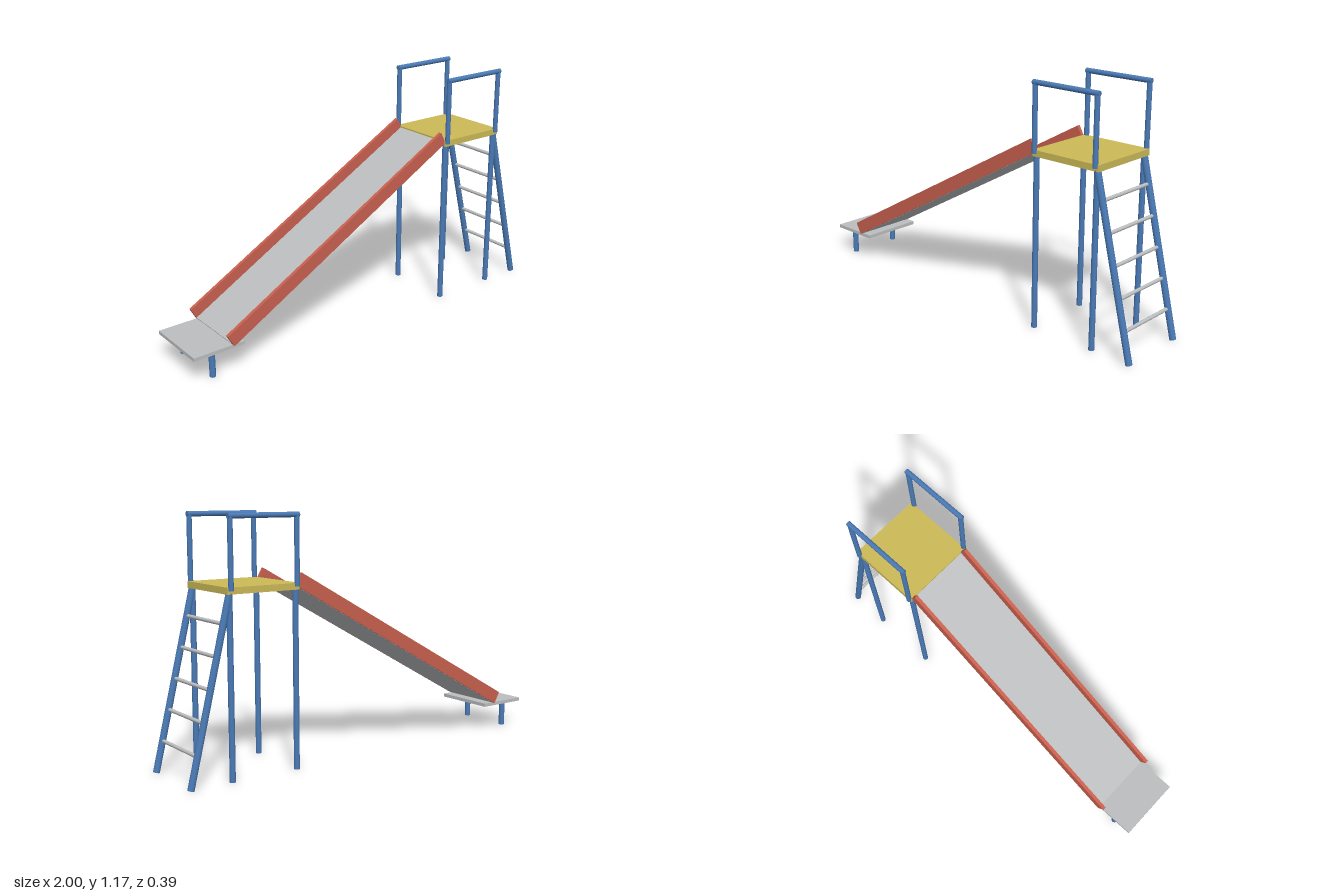
import * as THREE from 'three';

const mat = (name, color) => {
  const m = new THREE.MeshStandardMaterial({ color });
  m.name = name;
  return m;
};

export function createModel() {
  const group = new THREE.Group();
  const blue = mat('blue tube', 0x4a7ab5);
  const red = mat('red side', 0xc8604f);
  const yellow = mat('yellow deck', 0xcbb957);
  const grey = mat('grey metal', 0xbcbec0);

  const add = (name, geometry, material, x, y, z) => {
    const mesh = new THREE.Mesh(geometry, material);
    mesh.name = name;
    mesh.position.set(x, y, z);
    group.add(mesh);
    return mesh;
  };

  const box = (name, material, w, h, d, x, y, z) =>
    add(name, new THREE.BoxGeometry(w, h, d), material, x, y, z);

  // Round bar between two points
  const bar = (name, material, r, a, b) => {
    const from = new THREE.Vector3(...a), to = new THREE.Vector3(...b);
    const dir = to.clone().sub(from);
    const mid = from.clone().add(to).multiplyScalar(0.5);
    const mesh = add(name, new THREE.CylinderGeometry(r, r, dir.length(), 16), material, mid.x, mid.y, mid.z);
    mesh.quaternion.setFromUnitVectors(new THREE.Vector3(0, 1, 0), dir.normalize());
    return mesh;
  };

  // Deck
  box('platform', yellow, 0.362, 0.03, 0.364, 0.616, 0.84, 0);

  const postX = [0.447, 0.78];
  const ladderTop = [0.78, 0.83], ladderFoot = [0.982, 0.004];

  for (const s of [-1, 1]) {
    // Posts below the deck and handrail uprights above it
    for (const x of postX) {
      bar('post', blue, 0.0135, [x, 0.005, s * 0.167], [x, 0.83, s * 0.167]);
      bar('handrailUpright', blue, 0.012, [x, 0.84, s * 0.183], [x, 1.155, s * 0.183]);
    }
    bar('handrail', blue, 0.012, [0.436, 1.155, s * 0.183], [0.791, 1.155, s * 0.183]);
    // Ladder rail
    bar('ladderRail', blue, 0.0155, [...ladderTop, s * 0.167], [...ladderFoot, s * 0.167]);
    // Legs of the landing board
    bar('landingLeg', blue, 0.0145, [-0.897, 0.007, s * 0.132], [-0.897, 0.135, s * 0.132]);
  }

  // Ladder rungs
  for (let i = 0; i < 5; i++) {
    const y = 0.146 + i * 0.1388;
    const t = (ladderTop[1] - y) / (ladderTop[1] - ladderFoot[1]);
    const x = ladderTop[0] + t * (ladderFoot[0] - ladderTop[0]);
    bar('rung', grey, 0.0085, [x, y, -0.165], [x, y, 0.165]);
  }

  // Sloping chute: its local x runs up the slope, origin at the lower corner
  const chute = new THREE.Group();
  chute.name = 'chute';
  chute.position.set(-0.802, 0.142, 0);
  chute.rotation.z = Math.atan2(0.7, 1.247);
  group.add(chute);
  const length = 1.43;
  const bed = box('slideBed', grey, length, 0.011, 0.326, length / 2, 0.0045, 0);
  chute.add(bed);
  for (const s of [-1, 1]) {
    chute.add(box('slideSide', red, length, 0.064, 0.017, length / 2, 0.032, s * 0.1635));
  }

  // Landing board at the foot of the chute
  box('landingBoard', grey, 0.258, 0.017, 0.32, -0.871, 0.136, 0);

  return group;
}
